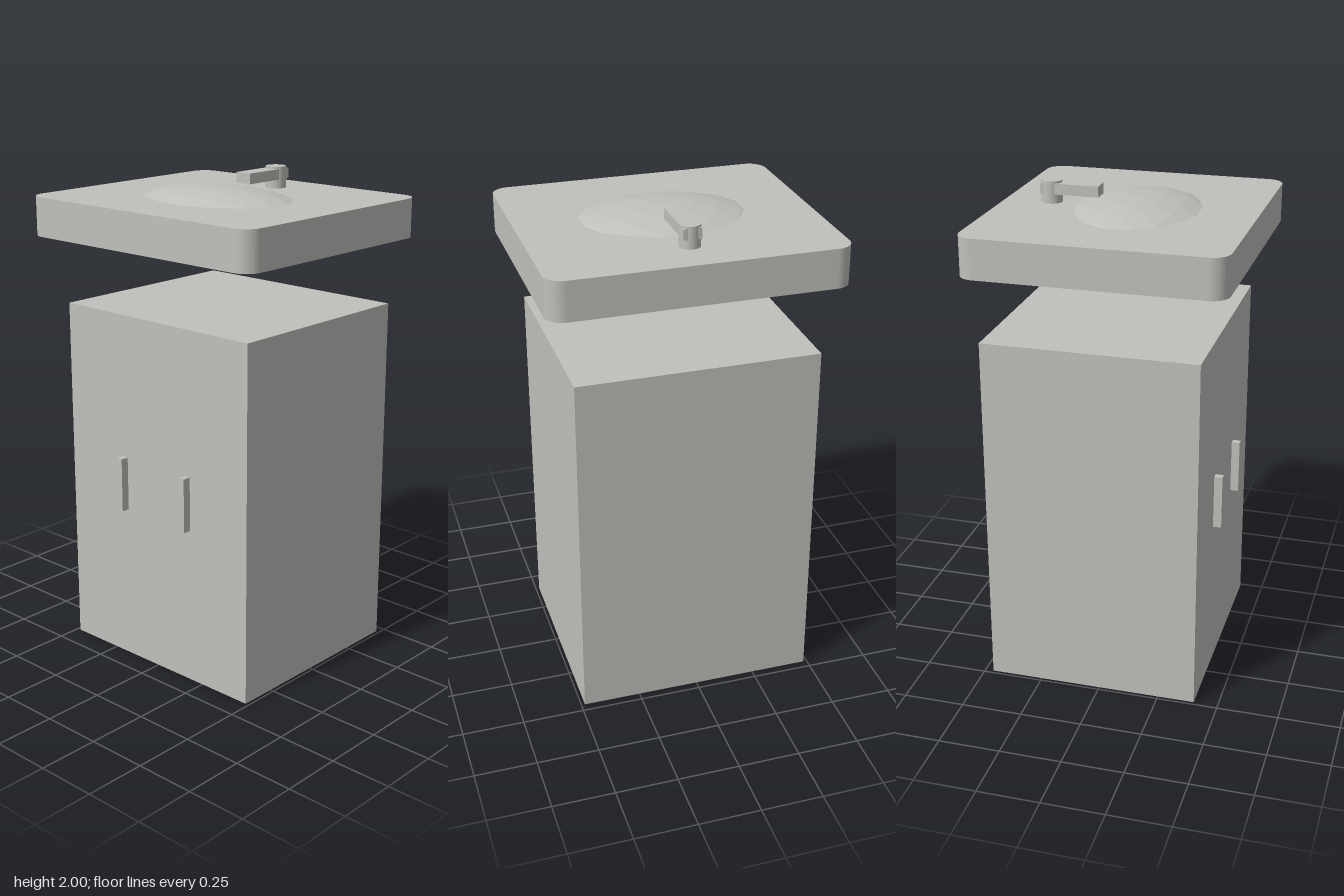
import * as THREE from 'three';

export function createModel() {
  const group = new THREE.Group();
  group.name = 'washstand';
  const grey = new THREE.MeshStandardMaterial({ color: 0xc0c0bc });
  grey.name = 'warm grey';

  const add = (name, geometry, x, y, z) => {
    const mesh = new THREE.Mesh(geometry, grey);
    mesh.name = name;
    mesh.position.set(x, y, z);
    group.add(mesh);
    return mesh;
  };

  // Cabinet with two door handles
  add('cabinet', new THREE.BoxGeometry(0.97, 1.472, 0.866), 0, 0.736, -0.032);
  for (const side of [-1, 1]) {
    const name = side > 0 ? 'leftHandle' : 'rightHandle';
    add(name, new THREE.BoxGeometry(0.027, 0.225, 0.036), side * 0.174, 0.767, 0.417);
  }

  // Countertop slab with rounded corners
  const w = 0.582, d = 0.511, r = 0.07;
  const outline = new THREE.Shape();
  outline.absarc(w - r, d - r, r, 0, Math.PI / 2);
  outline.absarc(r - w, d - r, r, Math.PI / 2, Math.PI);
  outline.absarc(r - w, r - d, r, Math.PI, Math.PI * 1.5);
  outline.absarc(w - r, r - d, r, Math.PI * 1.5, Math.PI * 2);
  outline.closePath();
  const slab = new THREE.ExtrudeGeometry(outline, { depth: 0.158, bevelEnabled: false, curveSegments: 8 });
  slab.rotateX(-Math.PI / 2);
  add('countertop', slab, 0, 1.754, 0);

  // Faceted basin, a flattened sphere passing through the slab
  const basin = new THREE.IcosahedronGeometry(1, 3);
  basin.scale(0.447, 0.134, 0.334);
  basin.computeVertexNormals();
  add('basin', basin, 0, 1.822, 0.033);

  // Tap: upright post and forward spout
  add('tapPost', new THREE.CylinderGeometry(0.042, 0.042, 0.09, 32), 0, 1.955, -0.32);
  add('tapSpout', new THREE.BoxGeometry(0.072, 0.043, 0.238), 0, 1.97, -0.238);

  return group;
}
